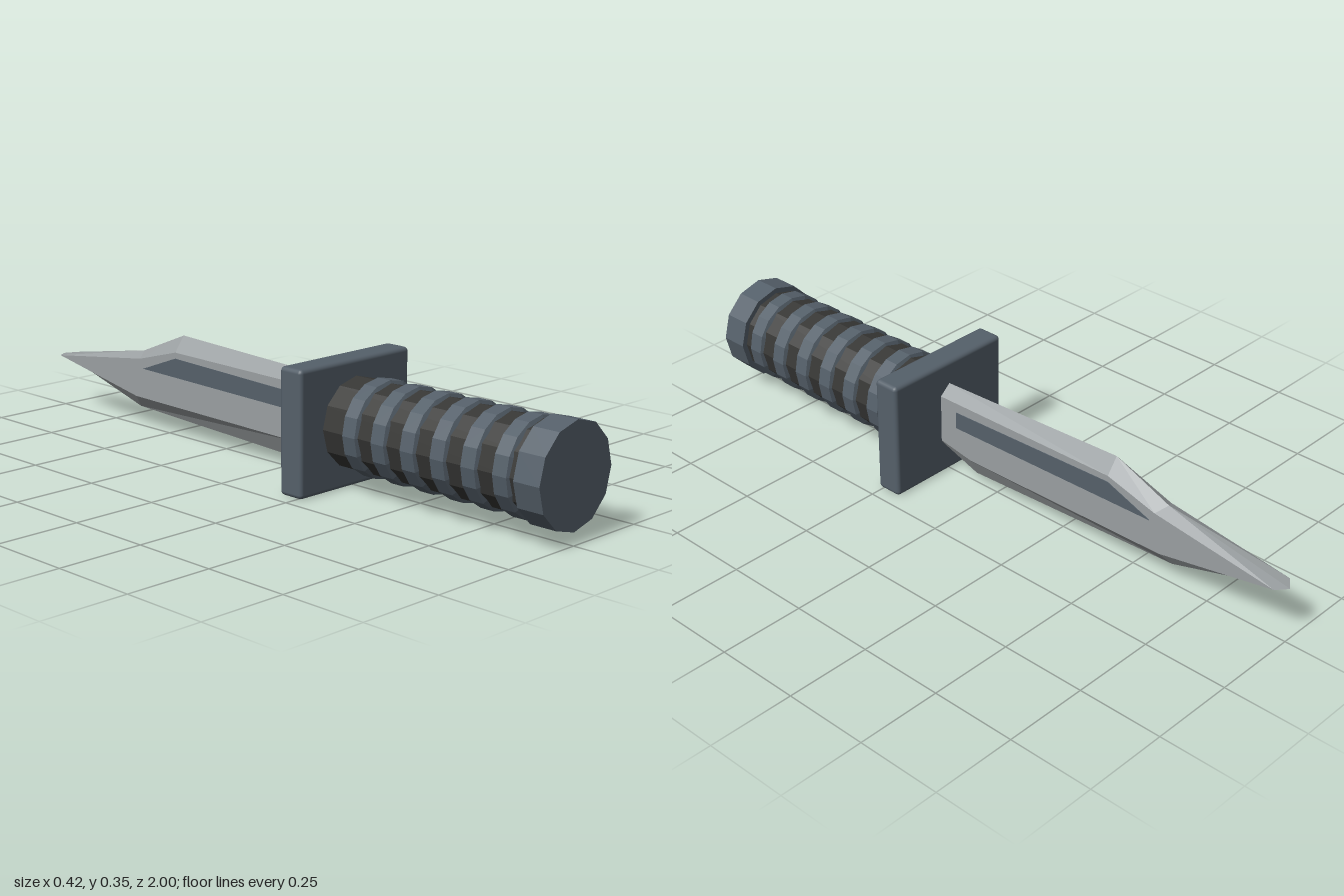
import * as THREE from 'three';
import { RoundedBoxGeometry } from 'three/addons/geometries/RoundedBoxGeometry.js';

const AXIS_Y = 0.178;

function faceted(geometry) {
  const g = geometry.index ? geometry.toNonIndexed() : geometry;
  g.computeVertexNormals();
  return g;
}

function addMesh(parent, name, geometry, material) {
  const mesh = new THREE.Mesh(geometry, material);
  mesh.name = name;
  parent.add(mesh);
  return mesh;
}

// Cylinder lying along z between two z values
function rod(radius, z0, z1, sides) {
  const g = new THREE.CylinderGeometry(radius, radius, z1 - z0, sides);
  g.rotateX(Math.PI / 2).translate(0, AXIS_Y, (z0 + z1) / 2);
  return faceted(g);
}

// Blade with a sharp outline at x = 0 bevelled out to flat cheeks at +-half
function bladeGeometry(outline, cheek, half) {
  const pos = [];
  const n = outline.length;
  const tris = THREE.ShapeUtils.triangulateShape(cheek.map(([z, y]) => new THREE.Vector2(z, y)), []);
  const mid = new THREE.Vector3(0, 0.17, -0.25);
  // Orders each triangle so that it faces away from the blade's middle
  const tri = (a, b, c) => {
    const [p, q, r] = [a, b, c].map((v) => new THREE.Vector3(...v));
    const normal = q.clone().sub(p).cross(r.clone().sub(p));
    const out = p.clone().add(q).add(r).divideScalar(3).sub(mid);
    for (const v of normal.dot(out) >= 0 ? [p, q, r] : [p, r, q]) pos.push(v.x, v.y, v.z);
  };
  for (const side of [1, -1]) {
    const flat = (i) => [side * half, cheek[i][1], cheek[i][0]];
    const edge = (i) => [0, outline[i][1], outline[i][0]];
    for (const t of tris) tri(flat(t[0]), flat(t[1]), flat(t[2]));
    for (let i = 0; i < n; i++) {
      const j = (i + 1) % n;
      tri(edge(i), edge(j), flat(j));
      tri(edge(i), flat(j), flat(i));
    }
  }
  const g = new THREE.BufferGeometry();
  g.setAttribute('position', new THREE.Float32BufferAttribute(pos, 3));
  g.computeVertexNormals();
  return g;
}

export function createModel() {
  const model = new THREE.Group();
  model.name = 'knife';
  const slate = new THREE.MeshStandardMaterial({ color: 0x55606a });
  slate.name = 'slate';
  const rubber = new THREE.MeshStandardMaterial({ color: 0x373735 });
  rubber.name = 'darkRubber';
  const steel = new THREE.MeshStandardMaterial({ color: 0x9a9fa1 });
  steel.name = 'steel';

  // Handle
  addMesh(model, 'grip', rod(0.127, 0.24, 0.94, 12), rubber);
  addMesh(model, 'pommel', rod(0.143, 0.92, 1, 12), slate);

  // Raised rings with sloping shoulders
  const profile = [[0.118, -0.03], [0.135, -0.022], [0.135, 0.022], [0.118, 0.03]]
    .map(([r, h]) => new THREE.Vector2(r, h));
  const ring = new THREE.LatheGeometry(profile, 16);
  ring.rotateX(Math.PI / 2);
  const ringGeometry = faceted(ring);
  for (let i = 0; i < 6; i++) {
    addMesh(model, 'gripRing' + (i + 1), ringGeometry, slate).position.set(0, AXIS_Y, 0.365 + i * 0.101);
  }

  // Hand guard
  const guard = new RoundedBoxGeometry(0.42, 0.352, 0.08, 2, 0.012);
  addMesh(model, 'guard', guard, slate).position.set(0, 0.176, 0.225);

  // Blade, points given as [z, y]
  const half = 0.034;
  const outline = [[0.2, 0.283], [-0.43, 0.308], [-0.61, 0.235], [-1, 0.165], [-0.63, 0.06], [0.08, 0.03], [0.2, 0.073]];
  const cheek = [[0.2, 0.254], [-0.43, 0.262], [-0.59, 0.218], [-0.975, 0.167], [-0.61, 0.1], [0.07, 0.09], [0.2, 0.112]];
  addMesh(model, 'blade', bladeGeometry(outline, cheek, half), steel);

  // Dark grooves on both cheeks
  const groove = new THREE.Shape([[-0.125, 0.176], [-0.125, 0.226], [0.43, 0.244], [0.575, 0.19]]
    .map(([x, y]) => new THREE.Vector2(x, y)));
  const plate = new THREE.ExtrudeGeometry(groove, { depth: 0.004, bevelEnabled: false });
  plate.translate(0, 0, -0.002).rotateY(Math.PI / 2);
  for (const [name, side] of [['leftGroove', 1], ['rightGroove', -1]]) {
    addMesh(model, name, plate, slate).position.x = side * half;
  }

  return model;
}
